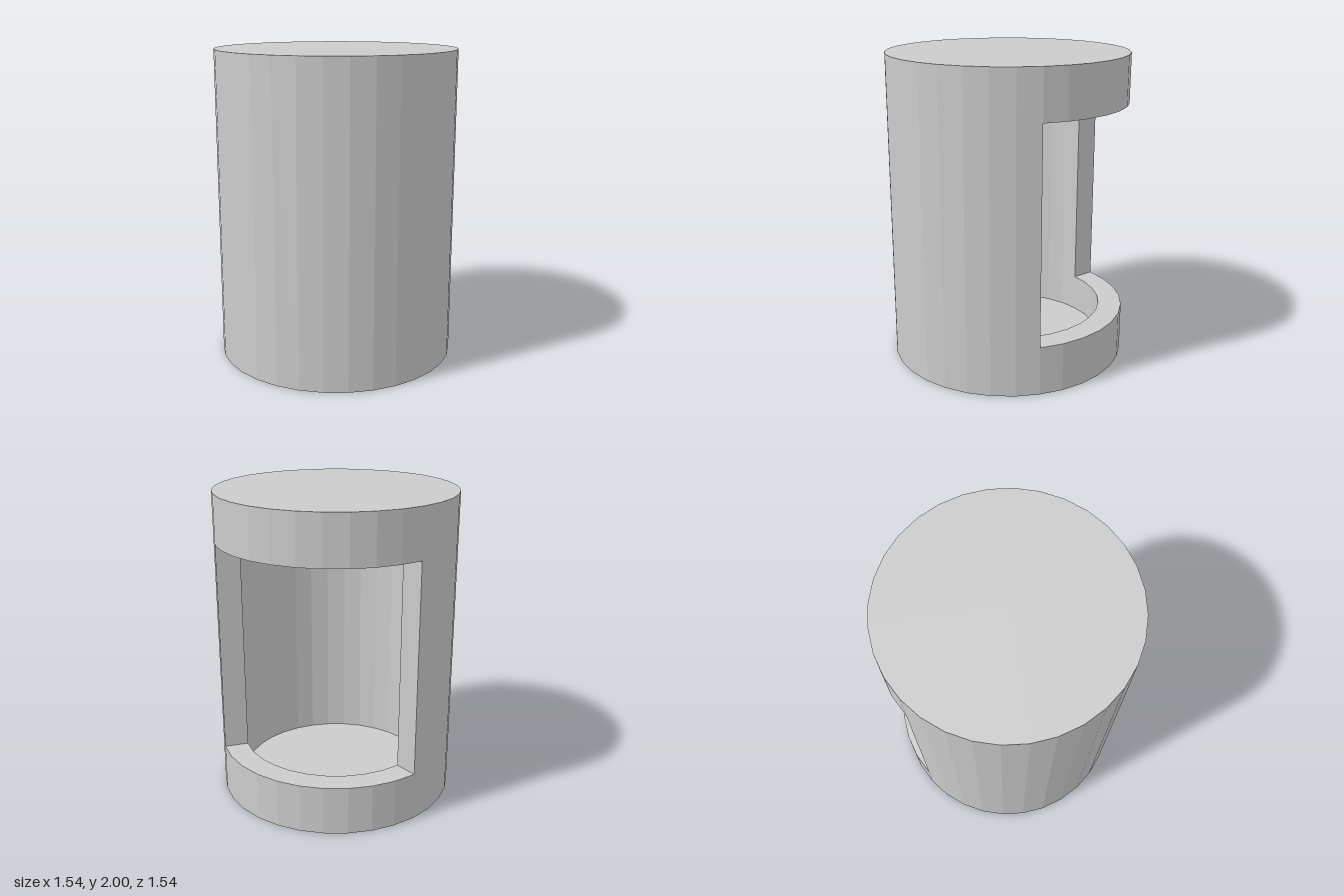
import * as THREE from 'three';

const SIDES = 32, STEP = (Math.PI * 2) / SIDES;
const R = 0.77, r = 0.617;            // outer and inner radius
const H = 2, FLOOR = 0.07, CEILING = 1.93;
const SILL = 0.316, LINTEL = 1.686;   // window bottom and top
const HALF = 11;                      // facets from the front to each window jamb

export function createModel() {
  const group = new THREE.Group();
  const material = new THREE.MeshStandardMaterial({ color: 0xcccccc, flatShading: true });

  const add = (name, geometry) => {
    const mesh = new THREE.Mesh(geometry, material);
    mesh.name = name;
    group.add(mesh);
    return mesh;
  };
  // Revolve a profile over a run of facets; angle 0 is the front
  const revolve = (name, profile, from, count) => add(name, new THREE.LatheGeometry(
    profile.map(([x, y]) => new THREE.Vector2(x, y)), count, from * STEP, count * STEP));

  // Closed front and sides: outer skin with its share of the end discs, then the inner skin
  const wall = [-HALF, HALF * 2];
  revolve('outerWall', [[0, 0], [R, 0], [R, H], [0, H]], ...wall);
  revolve('innerWall', [[0, CEILING], [r, CEILING], [r, FLOOR], [0, FLOOR]], ...wall);

  // Window at the back: a lower and an upper rim bridge the gap
  const opening = [HALF, SIDES - HALF * 2];
  revolve('lowerRim', [[0, 0], [R, 0], [R, SILL], [r, SILL], [r, FLOOR], [0, FLOOR]], ...opening);
  revolve('upperRim', [[0, CEILING], [r, CEILING], [r, LINTEL], [R, LINTEL], [R, H], [0, H]], ...opening);

  // Radial jambs closing the wall thickness on both sides of the window
  for (const [name, side] of [['leftJamb', 1], ['rightJamb', -1]]) {
    const angle = side * HALF * STEP, middle = (R + r) / 2;
    const jamb = add(name, new THREE.PlaneGeometry(R - r, LINTEL - SILL));
    jamb.position.set(middle * Math.sin(angle), (SILL + LINTEL) / 2, middle * Math.cos(angle));
    jamb.rotation.y = angle + side * Math.PI / 2;
  }
  return group;
}
